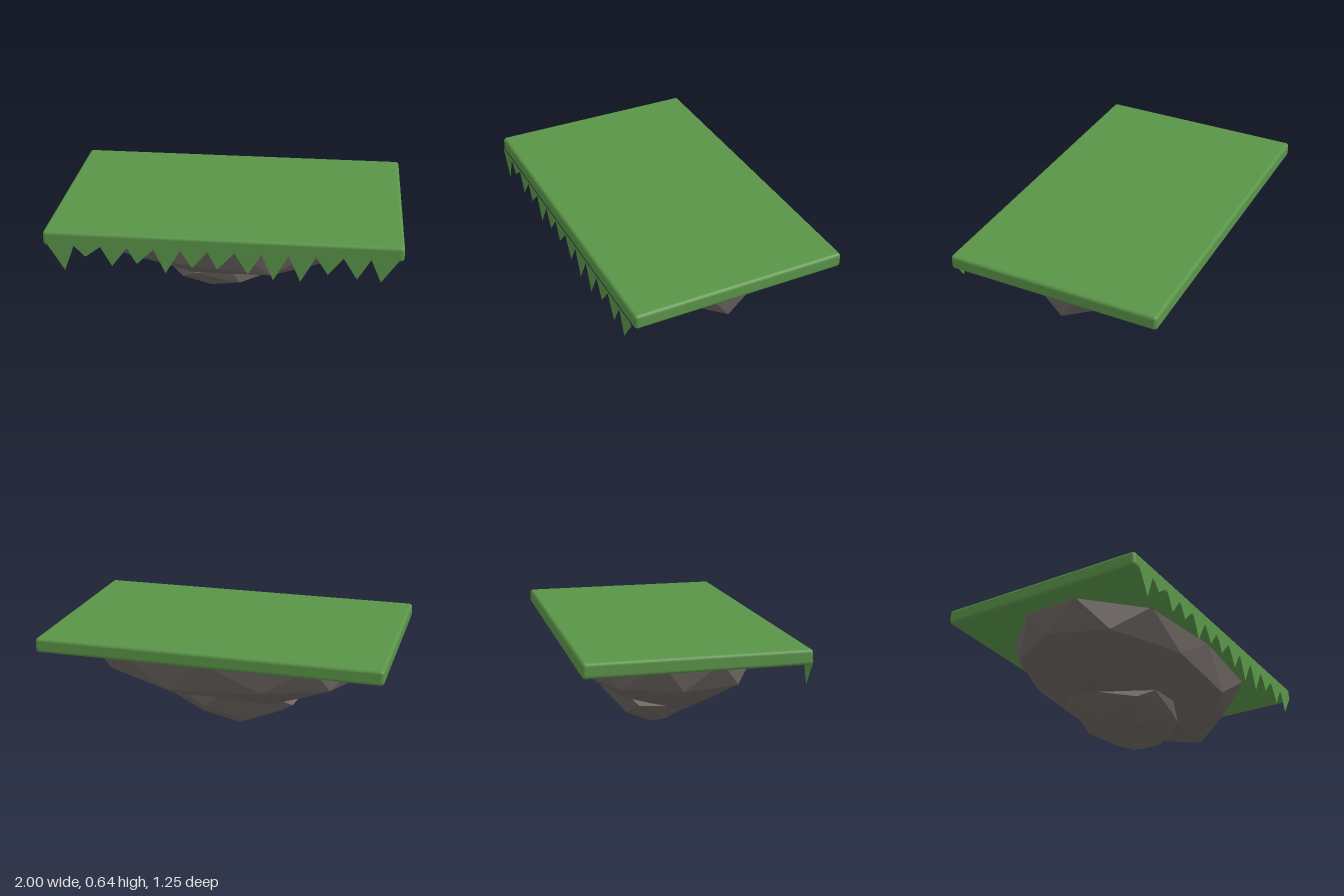
import * as THREE from 'three';
import { RoundedBoxGeometry } from 'three/addons/geometries/RoundedBoxGeometry.js';
import { ConvexGeometry } from 'three/addons/geometries/ConvexGeometry.js';

const grass = new THREE.MeshStandardMaterial({ color: 0x5a9448, side: THREE.DoubleSide });
grass.name = 'grass green';
const stone = new THREE.MeshStandardMaterial({ color: 0x6b6460, flatShading: true });
stone.name = 'stone grey';

function add(group, name, geometry, material) {
  const mesh = new THREE.Mesh(geometry, material);
  mesh.name = name;
  group.add(mesh);
  return mesh;
}

// Faceted boulder wrapped around a few corner points
const boulder = (points) => new ConvexGeometry(points.map((p) => new THREE.Vector3(...p)));

export function createModel() {
  const group = new THREE.Group();
  group.name = 'floatingPlatform';

  // Grass slab with softly rounded edges
  add(group, 'grassSlab', new RoundedBoxGeometry(2, 0.087, 1.245, 3, 0.02), grass)
    .position.set(0, 0.5955, -0.0075);

  // Jagged grass fringe along the front: [tip x, tip y] per blade
  const tips = [
    [-0.88, 0.41], [-0.76, 0.5], [-0.61, 0.45], [-0.47, 0.47], [-0.31, 0.42], [-0.16, 0.46], [-0.02, 0.46],
    [0.15, 0.44], [0.29, 0.41], [0.44, 0.41], [0.59, 0.46], [0.75, 0.44], [0.88, 0.43],
  ];
  const pitch = 1.944 / tips.length;
  const fringe = new THREE.Shape();
  fringe.moveTo(-0.972, 0.565);
  tips.forEach(([x, y], i) => {
    fringe.lineTo(x, y);
    fringe.lineTo(-0.972 + pitch * (i + 1), 0.565);
  });
  fringe.lineTo(0.96, 0.58);
  fringe.lineTo(-0.96, 0.58);
  add(group, 'grassFringe', new THREE.ShapeGeometry(fringe), grass).position.z = 0.625;

  // Wide upper rock: rim under the slab, bulging middle, lower belly
  add(group, 'upperRock', boulder([
    [0.91, 0.56, 0.15], [0.58, 0.56, 0.475], [0, 0.56, 0.53], [-0.55, 0.56, 0.46], [-0.87, 0.56, 0.15],
    [-0.86, 0.56, -0.17], [-0.58, 0.56, -0.474], [0.02, 0.56, -0.575], [0.58, 0.56, -0.496], [0.916, 0.56, -0.167],
    [0.88, 0.35, 0], [0.65, 0.39, 0.29], [0.27, 0.36, 0.475], [-0.25, 0.4, 0.475], [-0.72, 0.39, 0.29],
    [-0.835, 0.4, -0.05], [-0.667, 0.39, -0.369], [-0.3, 0.38, -0.49], [0.25, 0.355, -0.5], [0.66, 0.38, -0.32],
    [-0.55, 0.215, 0.03], [-0.38, 0.19, 0], [0.36, 0.22, 0.14], [0.3, 0.205, -0.2], [-0.2, 0.235, 0.25], [-0.3, 0.22, -0.25],
  ]), stone);

  // Small lower rock coming to a point
  add(group, 'lowerRock', boulder([
    [-0.065, 0, -0.055],
    [0.16, 0.06, -0.08], [-0.31, 0.09, -0.02], [-0.14, 0.09, -0.22], [-0.12, 0.08, 0.105],
    [0.4, 0.17, -0.06], [0.41, 0.23, 0.05], [0.07, 0.18, 0.25], [-0.28, 0.18, 0.2], [-0.42, 0.21, -0.2],
    [0.08, 0.2, -0.33], [-0.01, 0.28, -0.36], [0.3, 0.24, 0.15], [0.02, 0.265, 0.27], [-0.19, 0.24, 0.27],
    [-0.43, 0.2, 0], [0.3, 0.27, -0.22], [-0.3, 0.28, -0.28],
  ]), stone);

  return group;
}
